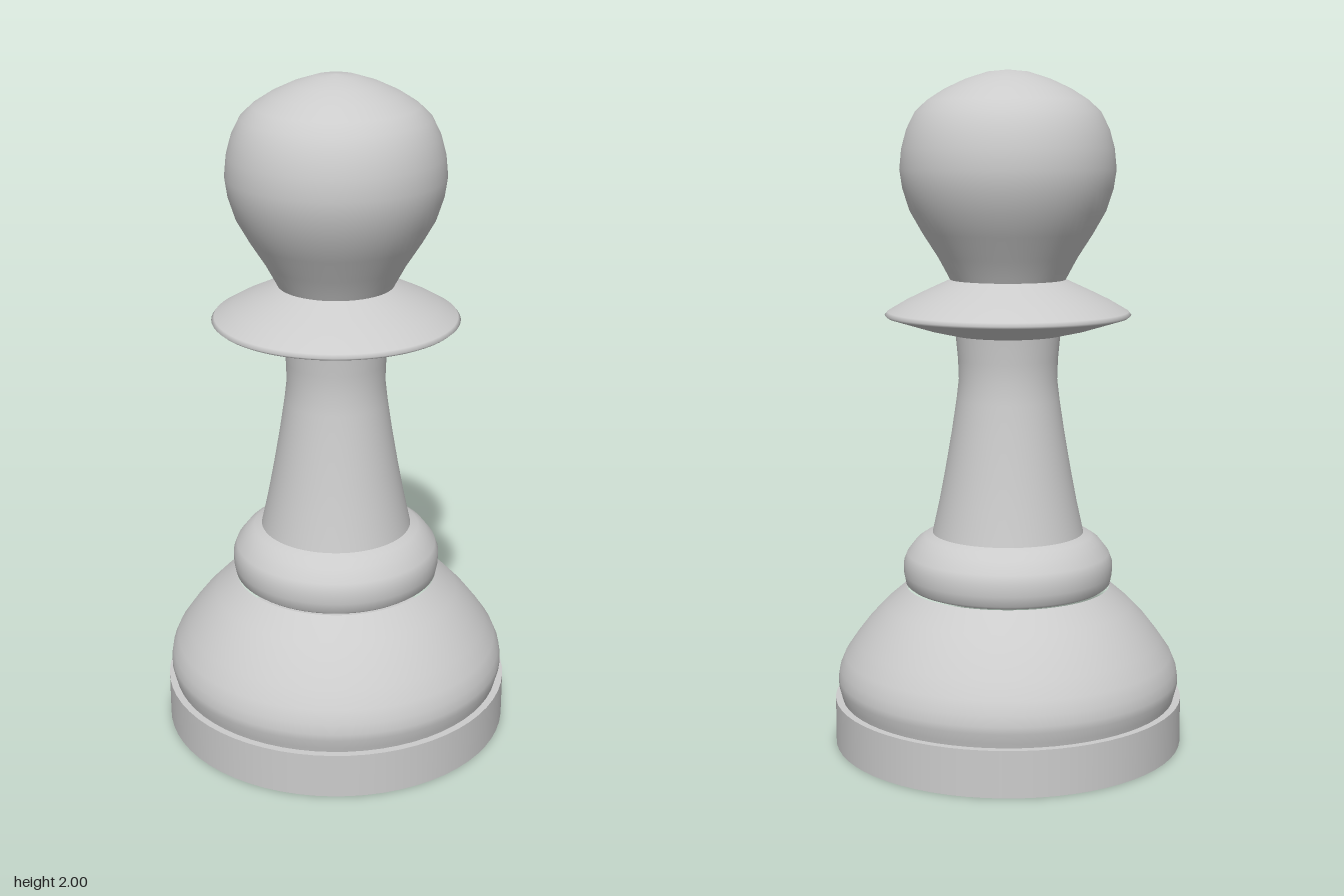
import * as THREE from 'three';

const SEGMENTS = 64;
const material = new THREE.MeshStandardMaterial({ color: 0xcccccc });

// Turned part from a [radius, height] profile, listed bottom to top
function turned(name, profile) {
  const points = profile.map(([r, y]) => new THREE.Vector2(r, y));
  const mesh = new THREE.Mesh(new THREE.LatheGeometry(points, SEGMENTS), material);
  mesh.name = name;
  return mesh;
}

export function createModel() {
  const group = new THREE.Group();
  group.name = 'pawn';

  // Flat foot disc
  const foot = new THREE.Mesh(new THREE.CylinderGeometry(0.523, 0.523, 0.137, SEGMENTS), material);
  foot.name = 'foot';
  foot.position.y = 0.0685;
  group.add(foot);

  // Domed base with a slight undercut above the foot
  group.add(turned('base', [
    [0.5, 0.13], [0.505, 0.15], [0.513, 0.18], [0.513, 0.2], [0.508, 0.23],
    [0.492, 0.268], [0.46, 0.315], [0.42, 0.367], [0.37, 0.42], [0.305, 0.476],
  ]));

  // Rounded ring on top of the base
  group.add(turned('lowerRing', [
    [0.295, 0.476], [0.307, 0.485], [0.313, 0.515], [0.313, 0.55],
    [0.303, 0.576], [0.275, 0.612], [0.25, 0.629], [0.215, 0.643],
  ]));

  // Concave tapering stem
  group.add(turned('stem', [
    [0.228, 0.63], [0.205, 0.735], [0.187, 0.83], [0.168, 0.94],
    [0.153, 1.04], [0.146, 1.1], [0.148, 1.16], [0.155, 1.235],
  ]));

  // Sharp-edged collar
  group.add(turned('collar', [
    [0.145, 1.23], [0.165, 1.233], [0.24, 1.25], [0.355, 1.285], [0.363, 1.292],
    [0.355, 1.302], [0.3, 1.334], [0.24, 1.363], [0.17, 1.395],
  ]));

  // Bulb-shaped head
  group.add(turned('head', [
    [0.165, 1.385], [0.178, 1.41], [0.205, 1.46], [0.25, 1.53], [0.287, 1.595],
    [0.308, 1.66], [0.316, 1.715], [0.31, 1.775], [0.295, 1.83], [0.27, 1.88],
    [0.235, 1.913], [0.185, 1.945], [0.125, 1.973], [0.06, 1.994], [0, 2],
  ]));

  return group;
}
